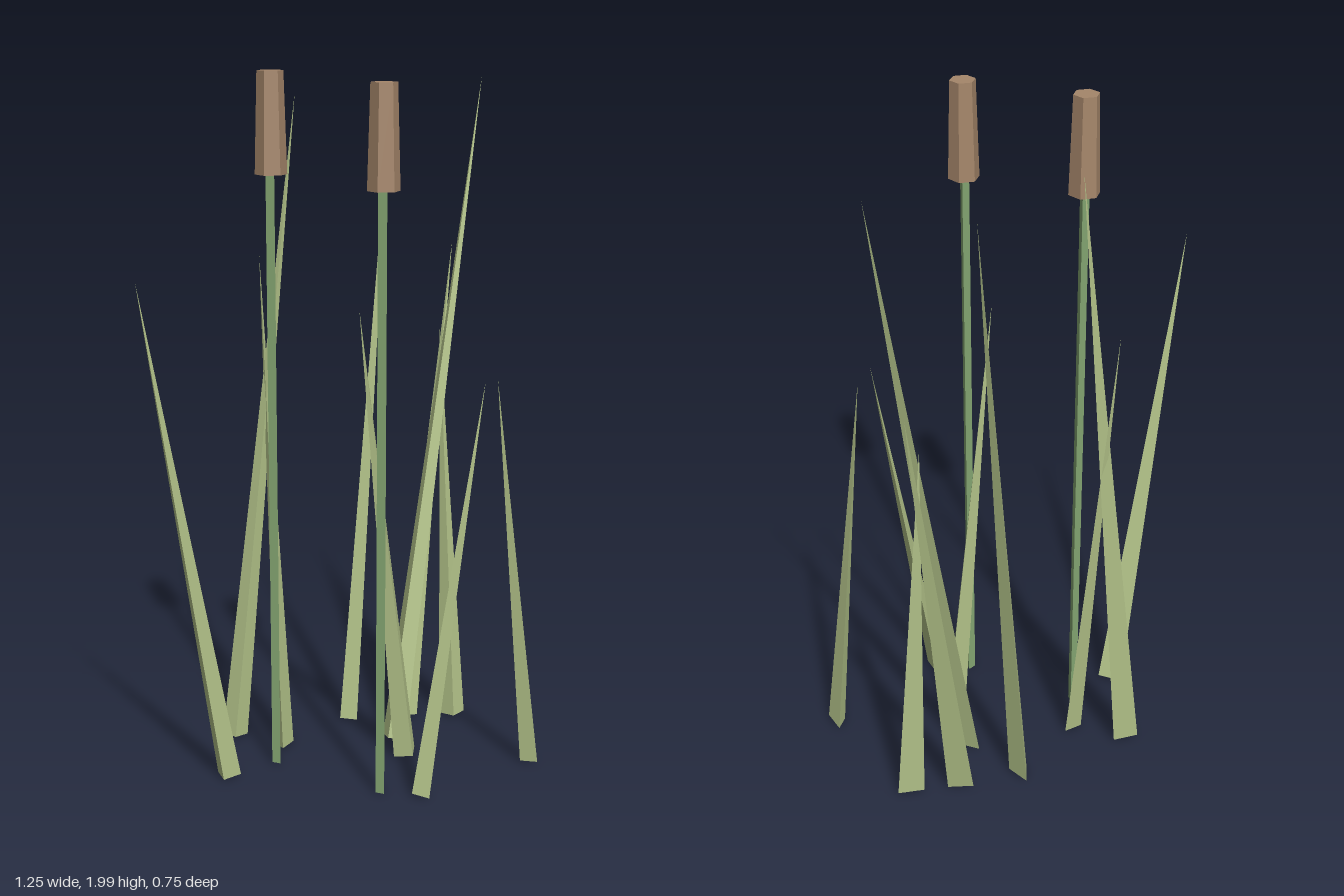
import * as THREE from 'three';

const material = (color) => new THREE.MeshStandardMaterial({ color, flatShading: true });

// Three-sided blade: wide base edge a-b, a ridge corner beside it, and a pointed tip.
function bladeGeometry(ax, az, bx, bz, tx, ty, tz) {
  const dx = bx - ax, dz = bz - az;
  const rx = (ax + bx) / 2 + 0.51 * dz, rz = (az + bz) / 2 - 0.51 * dx;
  const cx = (ax + bx + rx) / 3, cz = (az + bz + rz) / 3;
  // the base is cut square to the leaning axis
  const corner = (x, z) => [x, 0.012 - ((x - cx) * (tx - cx) + (z - cz) * (tz - cz)) / ty, z];
  const A = corner(ax, az), B = corner(bx, bz), R = corner(rx, rz), T = [tx, ty, tz];
  const faces = [A, B, T, B, R, T, R, A, T, A, R, B];
  const geometry = new THREE.BufferGeometry();
  geometry.setAttribute('position', new THREE.Float32BufferAttribute(faces.flat(), 3));
  geometry.computeVertexNormals();
  return geometry;
}

export function createModel() {
  const group = new THREE.Group();
  const leaf = material(0xb4c48a);
  const green = material(0x86a873);
  const brown = material(0xa5866a);

  const add = (name, geometry, mat, x = 0, y = 0, z = 0) => {
    const mesh = new THREE.Mesh(geometry, mat);
    mesh.name = name;
    mesh.position.set(x, y, z);
    group.add(mesh);
  };

  // Leaf blades: base edge start (x, z), base edge end (x, z), tip (x, y, z)
  const blades = [
    [-0.335, -0.08, -0.372, -0.143, -0.625, 1.475, -0.1],
    [-0.15, -0.318, -0.212, -0.358, 0.044, 1.92, -0.317],
    [-0.139, -0.147, -0.072, -0.187, -0.042, 1.46, -0.38],
    [0.172, -0.19, 0.172, -0.263, 0.316, 1.85, -0.226],
    [0.353, -0.117, 0.3, -0.17, 0.62, 1.45, -0.29],
    [0.205, 0.007, 0.175, -0.063, 0.597, 1.96, -0.14],
    [0.48, -0.04, 0.413, -0.08, 0.443, 1.225, -0.137],
    [0.18, 0.08, 0.102, 0.08, -0.058, 1.37, 0.116],
    [0.002, 0.361, 0.022, 0.291, 0.2, 1.18, 0.343],
    [0.403, 0.375, 0.42, 0.304, 0.268, 1.17, 0.317],
  ];
  blades.forEach((b, i) => add(`blade${i + 1}`, bladeGeometry(...b), leaf));

  // Cattails: triangular stem with a hexagonal, tapered seed head
  const cattails = [[-0.196, -0.095, 1.725, 2.0], [-0.079, 0.245, 1.703, 1.98]];
  cattails.forEach(([x, z, y0, y1], i) => {
    const length = y0 - 0.01 + 0.02;
    add(`stem${i + 1}`, new THREE.CylinderGeometry(0.015, 0.015, length, 3), green, x, 0.01 + length / 2, z);
    add(`seedHead${i + 1}`, new THREE.CylinderGeometry(0.036, 0.044, y1 - y0, 6), brown, x, (y0 + y1) / 2, z);
  });

  return group;
}
